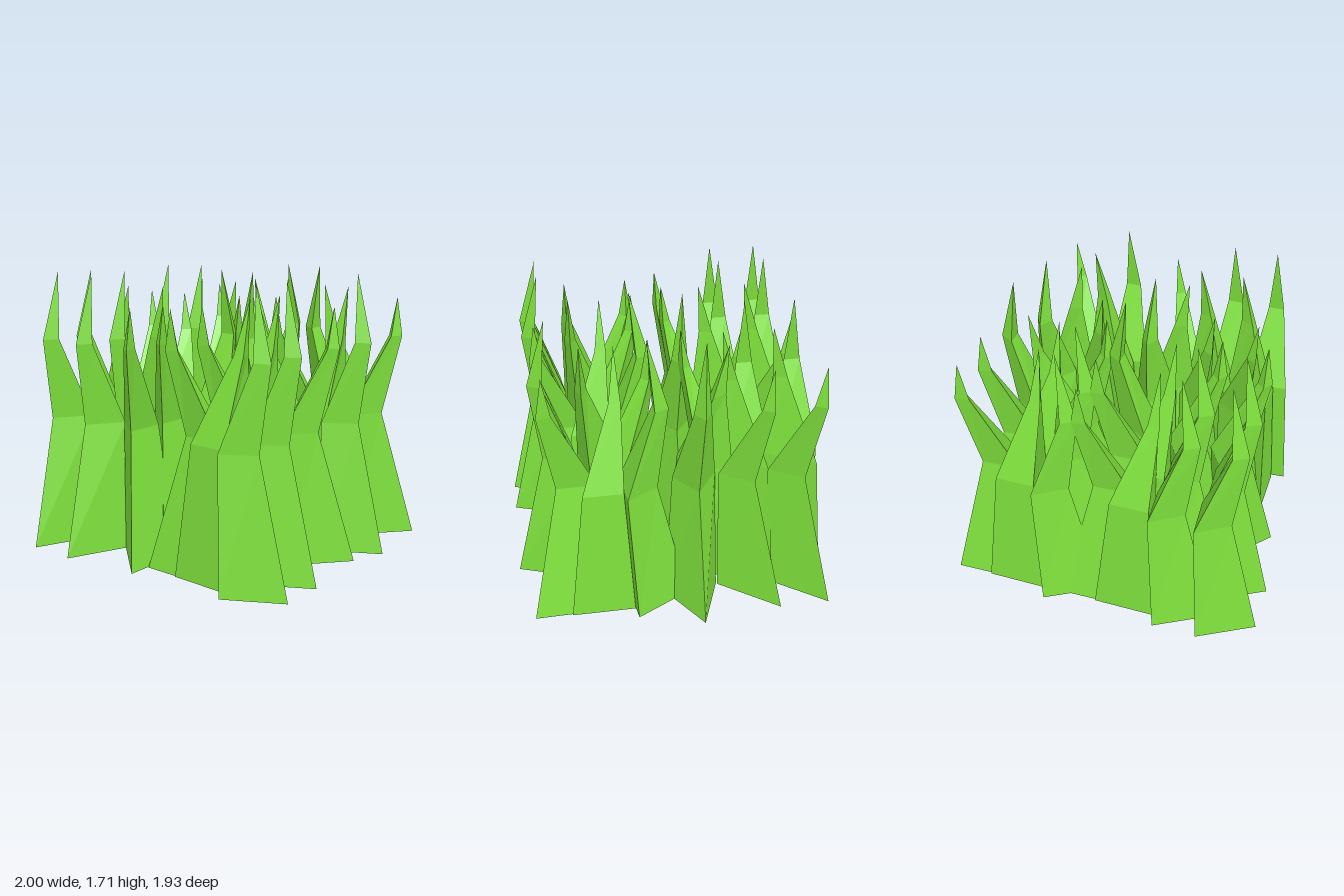
import * as THREE from 'three';

// Open-bottomed blade from stacked triangular sections [y, [x,z] x 3] and a pointed tip
function bladeGeometry(sections, tip) {
  const pos = [];
  const rings = sections.map(([y, ...pts]) => pts.map(([x, z]) => [x, y, z]));
  const tri = (a, b, c) => pos.push(...a, ...b, ...c);
  for (let i = 0; i < rings.length; i++) {
    for (let k = 0; k < 3; k++) {
      const n = (k + 1) % 3, a = rings[i][k], b = rings[i][n];
      if (i === rings.length - 1) {
        tri(a, b, tip);
      } else {
        tri(a, b, rings[i + 1][n]);
        tri(a, rings[i + 1][n], rings[i + 1][k]);
      }
    }
  }
  const g = new THREE.BufferGeometry();
  g.setAttribute('position', new THREE.Float32BufferAttribute(pos, 3));
  g.computeVertexNormals();
  return g;
}

export function createModel() {
  const model = new THREE.Group();
  model.name = 'grassClump';
  const green = new THREE.MeshStandardMaterial({
    color: 0x7ee03c, flatShading: true, side: THREE.DoubleSide,
  });

  // Tall blade: sharp base corner at the origin, pointing +z, hooked top
  const tall = bladeGeometry([
    [0, [-0.19, -0.33], [0, 0], [0.14, -0.36]],
    [0.8, [-0.14, -0.38], [-0.015, -0.19], [0.12, -0.40]],
    [1.3, [-0.05, -0.21], [0, -0.125], [0.05, -0.21]],
  ], [0.02, 1.71, -0.245]);

  // Low corner blade: sharp base corner at the origin, top hooked back outward
  const low = bladeGeometry([
    [0, [0, 0], [0.395, -0.01], [0.28, -0.335]],
    [0.8, [0.17, -0.155], [0.41, -0.16], [0.30, -0.345]],
    [1.3, [0.08, -0.085], [0.165, -0.1], [0.12, -0.15]],
  ], [0.12, 1.54, -0.09]);

  // Leaning blade: flat side along x, leaning inward toward -z
  const leaning = bladeGeometry([
    [0, [0.22, 0.005], [0.60, 0.005], [0.48, -0.32]],
    [0.8, [0.31, -0.04], [0.55, -0.04], [0.50, -0.34]],
    [1.3, [0.49, -0.2], [0.56, -0.2], [0.53, -0.28]],
  ], [0.535, 1.61, -0.29]);

  // Corner positions shared by the low and leaning blades, one per quarter turn
  const middle = [0, -0.925, 0.005], front = [1, -0.19, 0.89];
  const inner = [-1, -0.79, 0.01], back = [2, -0.055, -0.88];
  const columns = [0, 0.27, 0.98], rightColumns = [0.27, 0.98];

  // Places copies of a blade, turned by quarter turns, at each column and row
  function plant(name, geometry, [turn, x, z], xs, rows = [0]) {
    const group = new THREE.Group();
    group.name = name;
    for (const dx of xs) {
      for (const dz of rows) {
        const blade = new THREE.Mesh(geometry, green);
        blade.name = name + 'Blade';
        blade.rotation.y = turn * Math.PI / 2;
        blade.position.set(x + dx, 0, z + dz);
        group.add(blade);
      }
    }
    model.add(group);
  }

  // Tall blades
  plant('frontTall', tall, [0, -0.69, 0.965], columns);
  plant('leftTall', tall, [1, 0.015, -0.1], rightColumns);
  plant('innerTall', tall, [2, -0.29, -0.05], rightColumns);
  plant('backTall', tall, [-1, -1, -0.775], columns, [0, 0.3]);

  // Low corner blades
  plant('middleLow', low, middle, columns);
  plant('frontLow', low, front, rightColumns);
  plant('innerLow', low, inner, columns);
  plant('backLow', low, back, rightColumns, [0, 0.3]);

  // Leaning blades
  plant('middleLeaning', leaning, middle, [0.98]);
  plant('frontLeaning', leaning, front, rightColumns);
  plant('innerLeaning', leaning, inner, columns);
  plant('backLeaning', leaning, back, rightColumns, [0, 0.3]);
  return model;
}
